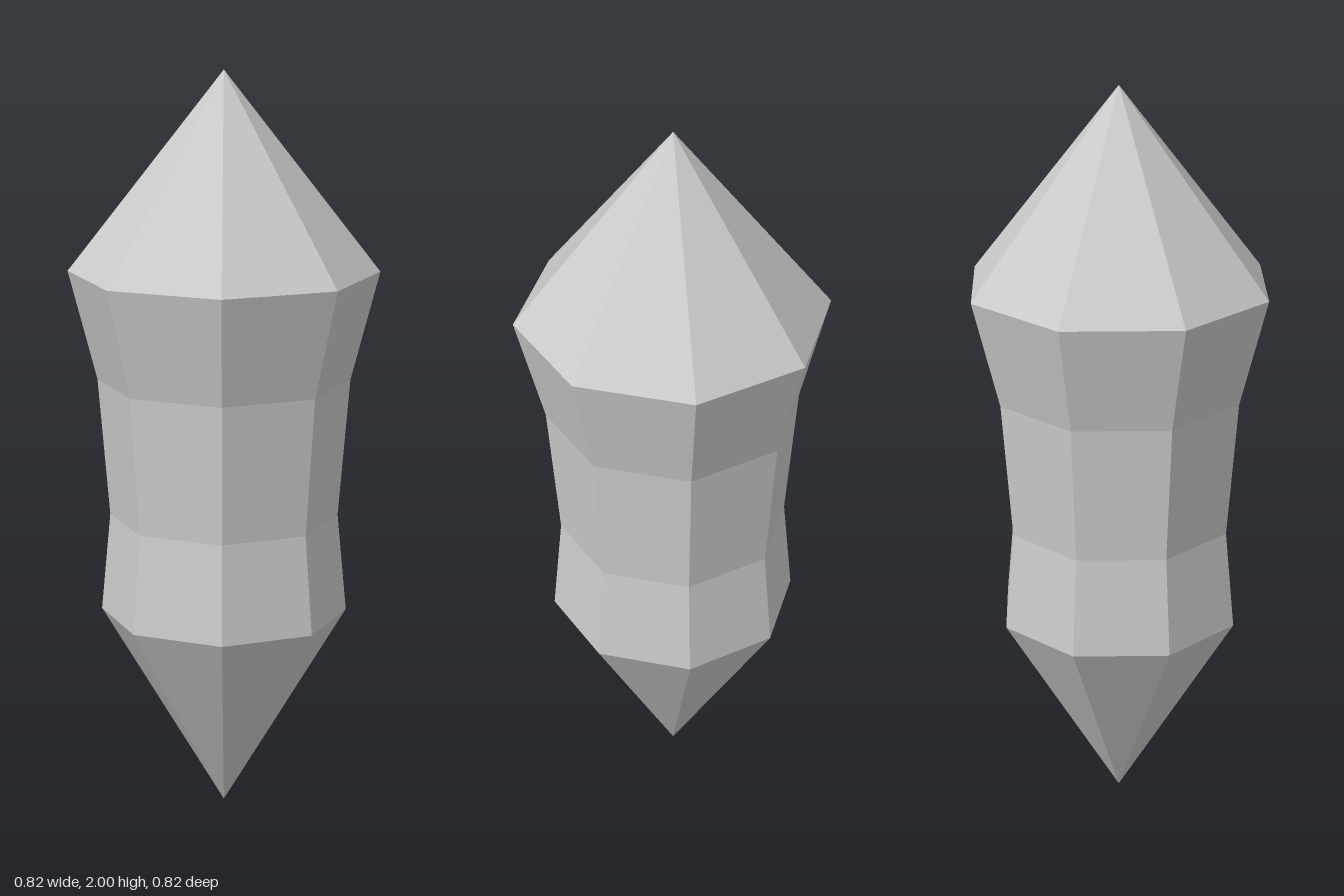
import * as THREE from 'three';

const SIDES = 8;

// Radius and height of each ring, from the lower tip to the upper tip
const PROFILE = [
  [0, 0],
  [0.33, 0.55],
  [0.305, 0.815],
  [0.335, 1.185],
  [0.41, 1.475],
  [0, 2],
].map(([r, y]) => new THREE.Vector2(r, y));

export function createModel() {
  const crystal = new THREE.Group();
  crystal.name = 'crystal';
  const material = new THREE.MeshStandardMaterial({ color: 0xcccccc, flatShading: true });

  const addPart = (name, first, last) => {
    const geometry = new THREE.LatheGeometry(PROFILE.slice(first, last + 1), SIDES);
    const mesh = new THREE.Mesh(geometry, material);
    mesh.name = name;
    crystal.add(mesh);
  };

  addPart('lowerPoint', 0, 1);
  addPart('waistedShaft', 1, 4);
  addPart('upperPoint', 4, 5);

  return crystal;
}
